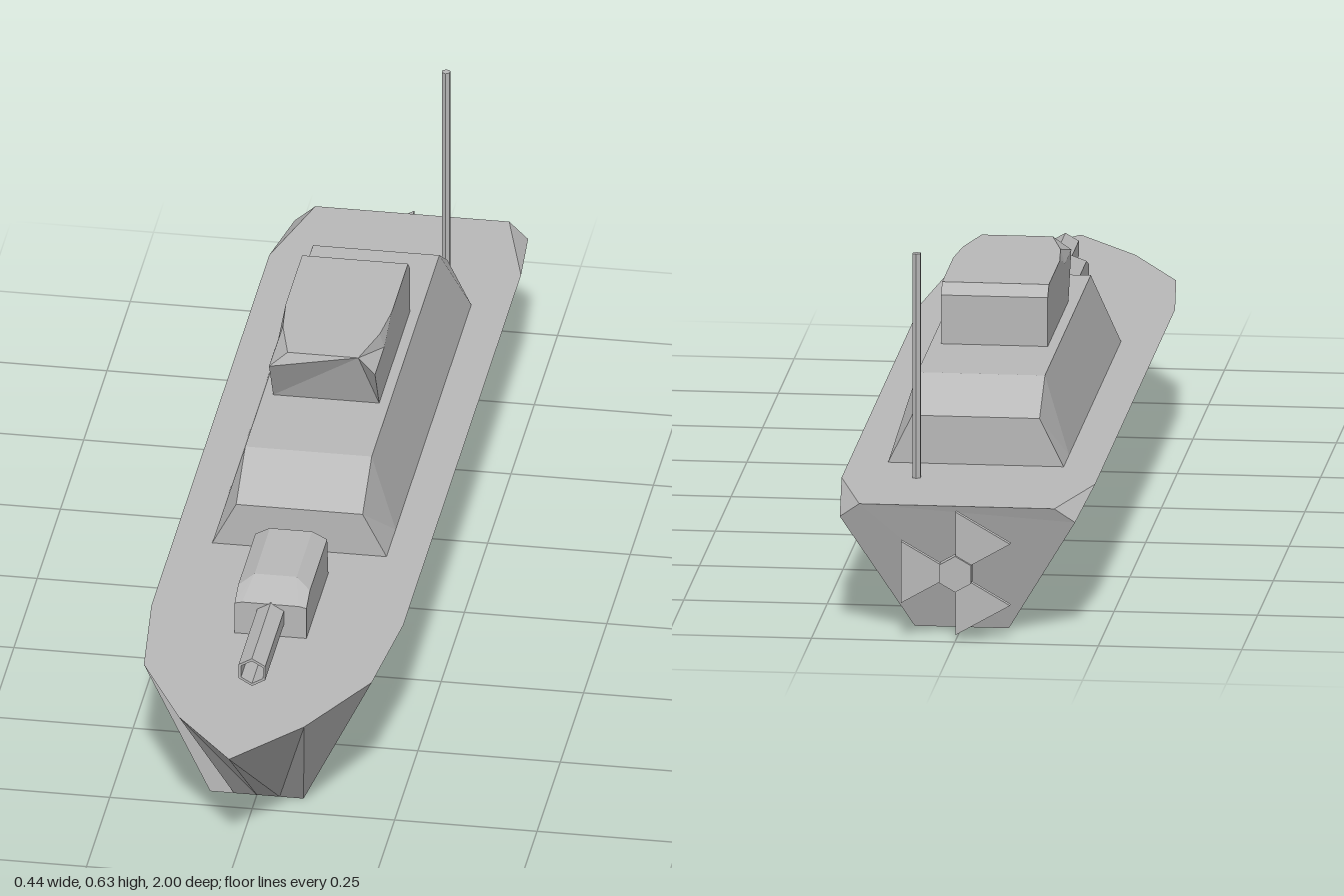
import * as THREE from 'three';

const DECK = 0.235;

// Flat-faced copy of any geometry
function flat(geometry) {
  const g = geometry.index ? geometry.toNonIndexed() : geometry;
  g.computeVertexNormals();
  return g;
}

// Mirrored loft. Each station (front to back) lists the +x half of a
// cross-section from the roof edge down to the base, as [x, y, z].
function loft(stations) {
  const rings = stations.map((half) => [
    ...half,
    ...half.map(([x, y, z]) => [-x, y, z]).reverse(),
  ].map((p) => new THREE.Vector3(...p)));
  const out = [];
  const tri = (a, b, c) => {
    const area = b.clone().sub(a).cross(c.clone().sub(a)).length();
    if (area > 1e-7) out.push(...a.toArray(), ...b.toArray(), ...c.toArray());
  };
  const n = rings[0].length;
  for (let i = 0; i < rings.length - 1; i++) {
    for (let j = 0; j < n; j++) {
      const k = (j + 1) % n;
      const [a, b, c, d] = [rings[i][j], rings[i][k], rings[i + 1][k], rings[i + 1][j]];
      tri(a, b, c);
      tri(a, c, d);
    }
  }
  const front = rings[0], back = rings[rings.length - 1];
  for (let j = 1; j < n - 1; j++) {
    tri(front[0], front[j + 1], front[j]);
    tri(back[0], back[j], back[j + 1]);
  }
  const g = new THREE.BufferGeometry();
  g.setAttribute('position', new THREE.Float32BufferAttribute(out, 3));
  return flat(g);
}

export function createModel() {
  const model = new THREE.Group();
  model.name = 'patrolBoat';
  const grey = new THREE.MeshStandardMaterial({ color: 0xb8b8b8 });
  grey.name = 'hull grey';

  const add = (name, geometry, parent = model) => {
    const mesh = new THREE.Mesh(geometry, grey);
    mesh.name = name;
    parent.add(mesh);
    return mesh;
  };

  // Hull: deck edge, chine (split from the deck only at the stern), keel edge
  const rib = (x, z, bx, bz) => [[x, DECK, z], [x, DECK, z], [bx, 0, bz]];
  add('hull', loft([
    rib(0, 1, 0, 0.7),
    rib(0.11, 0.865, 0.04, 0.7),
    rib(0.2, 0.69, 0.082, 0.7),
    rib(0.221, 0.48, 0.082, 0.48),
    rib(0.221, -0.785, 0.082, -0.785),
    [[0.17, DECK, -0.97], [0.205, 0.209, -0.96], [0.082, 0, -0.89]],
  ]));

  // Superstructure with sloped ends and leaning sides
  const wall = (y, z) => [[0.111, y, z], [0.153, DECK, z]];
  add('superstructure', loft([
    wall(0.315, 0.243), wall(0.376, 0.145), wall(0.376, -0.582), wall(0.32, -0.667),
  ]));

  // Bridge cabin: roof edge, shoulder, base; the brow overhangs in front
  add('bridge', loft([
    [[0.062, 0.482, -0.01], [0.093, 0.457, 0], [0.093, 0.376, -0.045]],
    [[0.085, 0.482, -0.1], [0.093, 0.457, -0.1], [0.093, 0.376, -0.1]],
    [[0.093, 0.482, -0.18], [0.093, 0.482, -0.18], [0.093, 0.376, -0.18]],
    [[0.093, 0.482, -0.355], [0.093, 0.482, -0.355], [0.093, 0.376, -0.355]],
    [[0.093, 0.463, -0.374], [0.093, 0.463, -0.374], [0.093, 0.376, -0.374]],
  ]));

  // Deck gun housing
  add('gunTurret', loft([
    [[0.05, 0.297, 0.553], [0.063, 0.294, 0.553], [0.063, DECK, 0.553]],
    [[0.037, 0.324, 0.497], [0.063, 0.309, 0.515], [0.063, DECK, 0.515]],
    [[0.037, 0.324, 0.333], [0.063, 0.309, 0.33], [0.063, DECK, 0.318]],
  ]));

  // Hollow six-sided barrel
  const hexagon = (r) => Array.from({ length: 6 }, (_, i) => {
    const a = Math.PI / 2 + (i * Math.PI) / 3;
    return new THREE.Vector2(r * Math.cos(a), r * Math.sin(a));
  });
  const bore = new THREE.Shape(hexagon(0.027));
  bore.holes.push(new THREE.Path(hexagon(0.022)));
  add('gunBarrel', flat(new THREE.ExtrudeGeometry(bore, { depth: 0.205, bevelEnabled: false })))
    .position.set(0, 0.272, 0.548);

  // Radio mast
  add('mast', flat(new THREE.CylinderGeometry(0.008, 0.008, 0.4, 6)))
    .position.set(0.092, DECK + 0.2, -0.77);

  // Propeller: shaft, hub and three flared blades
  const propeller = new THREE.Group();
  propeller.name = 'propeller';
  propeller.position.set(0, 0.12, -0.985);
  model.add(propeller);
  const shaft = add('propellerShaft', flat(new THREE.CylinderGeometry(0.01, 0.01, 0.08, 6)), propeller);
  shaft.rotation.x = Math.PI / 2;
  shaft.position.z = 0.035;
  const hub = add('propellerHub', flat(new THREE.CylinderGeometry(0.032, 0.032, 0.024, 6)), propeller);
  hub.rotation.x = Math.PI / 2;
  const blade = new THREE.Shape([
    new THREE.Vector2(0.01, -0.006), new THREE.Vector2(0.095, -0.055),
    new THREE.Vector2(0.095, 0.055), new THREE.Vector2(0.01, 0.006),
  ]);
  const bladeGeometry = flat(new THREE.ExtrudeGeometry(blade, { depth: 0.012, bevelEnabled: false }));
  for (let i = 0; i < 3; i++) {
    const b = add('propellerBlade', bladeGeometry, propeller);
    b.position.z = -0.006;
    b.rotation.z = (i * Math.PI * 2) / 3;
  }
  return model;
}
